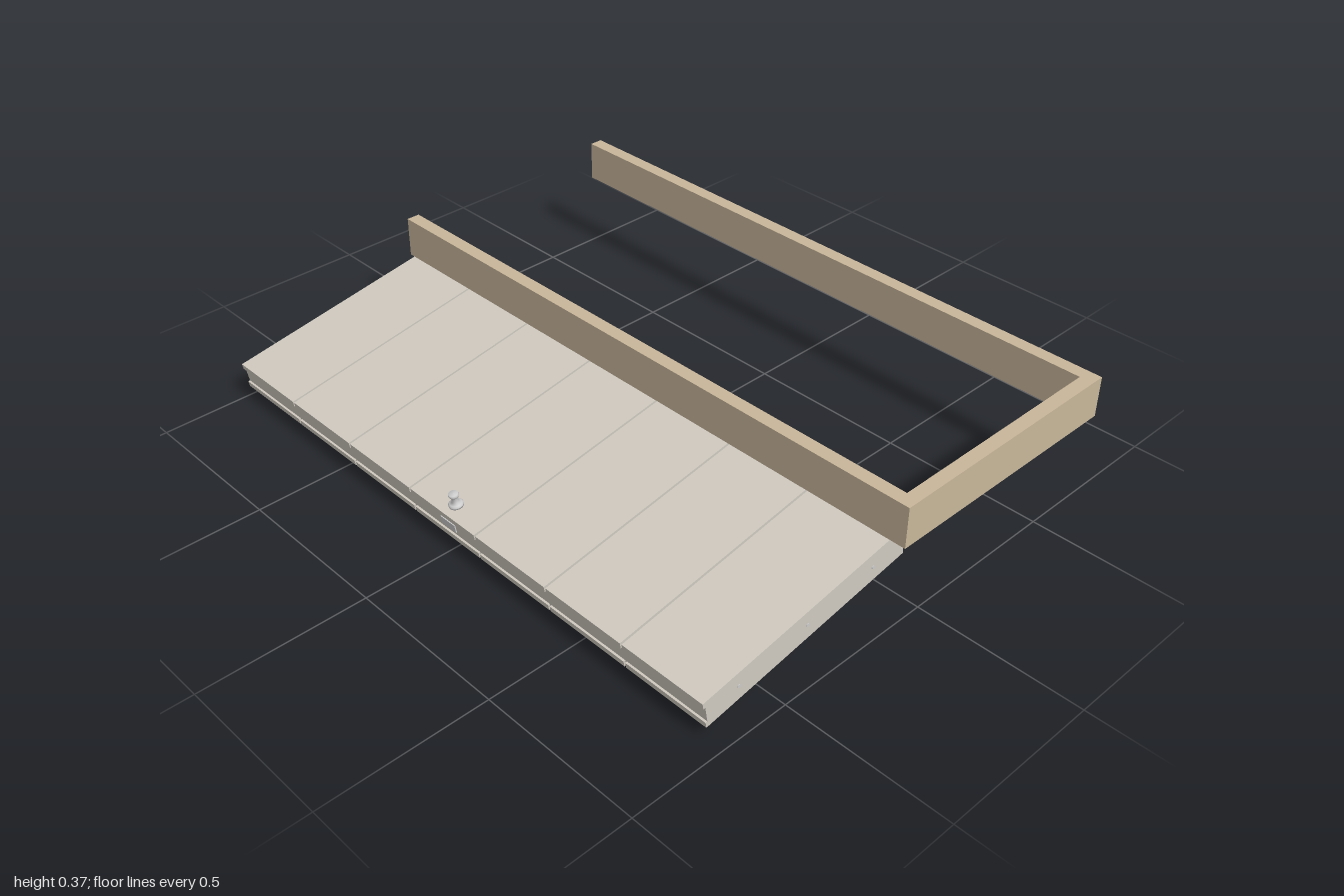
import * as THREE from 'three';

const material = (color) => new THREE.MeshStandardMaterial({ color });
const wood = material(0xc8b69a);
const paint = material(0xd0cac0);
const metal = material(0xcccccc);

function add(parent, name, geometry, mat, x = 0, y = 0, z = 0) {
  const mesh = new THREE.Mesh(geometry, mat);
  mesh.name = name;
  mesh.position.set(x, y, z);
  parent.add(mesh);
  return mesh;
}

// U-shaped frame, open towards the back
function createFrame() {
  const [x0, x1, t] = [-0.085, 0.73, 0.042];
  const outline = [
    [x0, 1], [x0, -1], [x1, -1], [x1, 1],
    [x1 - t, 1], [x1 - t, -1 + t], [x0 + t, -1 + t], [x0 + t, 1],
  ];
  const shape = new THREE.Shape(outline.map(([x, y]) => new THREE.Vector2(x, y)));
  const geometry = new THREE.ExtrudeGeometry(shape, { depth: 0.127, bevelEnabled: false });
  geometry.rotateX(-Math.PI / 2);
  const frame = new THREE.Group();
  frame.name = 'doorFrame';
  add(frame, 'frameBars', geometry, wood, 0, 0.245, 0);
  return frame;
}

// Door leaf: a core between two planked skins, with a knob on each side
function createDoor() {
  const width = 0.71, length = 1.945, thickness = 0.086, skin = 0.018;
  const planks = 7, gap = 0.006;
  const pitch = length / planks;
  const door = new THREE.Group();
  door.name = 'door';

  add(door, 'doorCore', new THREE.BoxGeometry(width - 0.012, thickness - 2 * skin + 0.012, length - 0.006), paint);

  const plank = new THREE.BoxGeometry(width, skin, pitch - gap);
  // Knob profile: rose, stem and rounded head
  const profile = [
    [0, 0], [0.021, 0], [0.021, 0.005], [0.017, 0.009], [0.009, 0.011],
    [0.008, 0.028], [0.013, 0.032], [0.015, 0.037], [0.013, 0.042], [0, 0.043],
  ].map(([r, y]) => new THREE.Vector2(r, y));
  const knob = new THREE.LatheGeometry(profile, 20);

  for (const side of [1, -1]) {
    for (let i = 0; i < planks; i++) {
      add(door, 'plank', plank, paint, 0, side * (thickness - skin) / 2, -length / 2 + (i + 0.5) * pitch);
    }
    const handle = add(door, 'knob', knob, metal, -0.313, side * thickness / 2, 0.012);
    if (side < 0) handle.rotation.x = Math.PI;
  }

  // Latch on the free edge and screws in both ends
  add(door, 'latchPlate', new THREE.BoxGeometry(0.004, 0.026, 0.06), metal, -width / 2 + 0.005, 0, 0.012);
  const screw = new THREE.CylinderGeometry(0.005, 0.005, 0.004, 12).rotateX(Math.PI / 2);
  for (const end of [1, -1]) {
    for (const x of [-0.24, 0, 0.24]) add(door, 'screw', screw, metal, x, 0, end * (length / 2 - 0.003));
  }

  door.position.set(-0.372, 0.143, -0.0225);
  door.rotation.z = THREE.MathUtils.degToRad(9.8);
  return door;
}

export function createModel() {
  const model = new THREE.Group();
  model.name = 'doorWithFrame';
  model.add(createFrame(), createDoor());
  return model;
}
